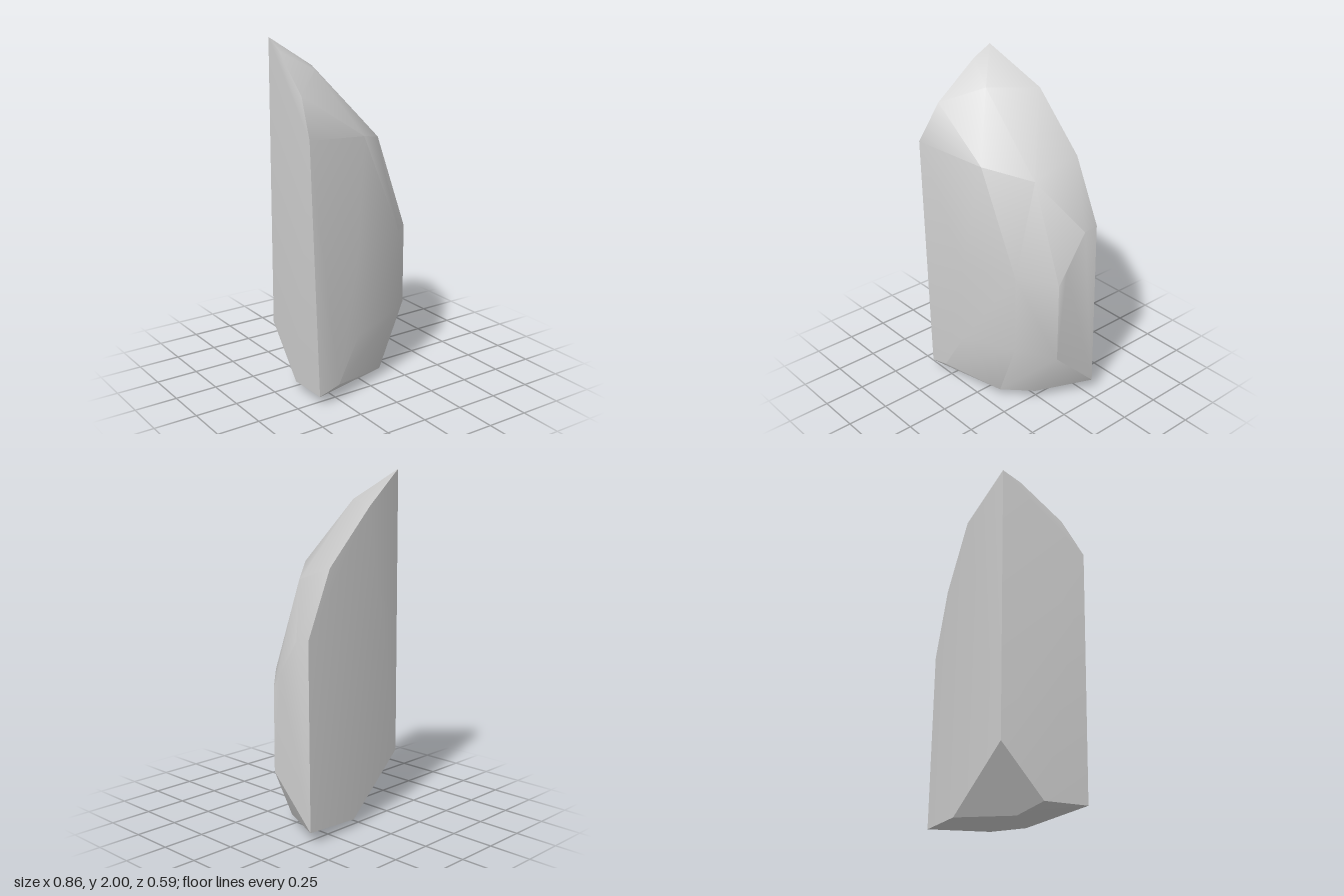
import * as THREE from 'three';
import { ConvexGeometry } from 'three/addons/geometries/ConvexGeometry.js';
import { toCreasedNormals } from 'three/addons/utils/BufferGeometryUtils.js';

// Corners of the chipped stone slab, grouped by the part they bound
const crown = [
  [-0.38, 2.0, -0.19], [-0.385, 1.94, -0.08], [-0.4, 1.73, 0.17], [-0.43, 1.52, 0.29],
  [-0.2, 1.83, -0.01], [-0.01, 1.475, 0.187], [0.22, 1.41, 0.0],
];
const backEdge = [
  [-0.05, 1.81, -0.275], [0.26, 1.5, -0.275], [0.427, 1.13, -0.28],
  [0.43, 0.07, -0.295], [0.07, 0.045, -0.28], [-0.38, 0.34, -0.2],
];
const sideFacet = [
  [0.427, 1.12, -0.19], [0.425, 0.92, -0.06], [0.423, 0.84, -0.005], [0.423, 0.35, -0.005],
];
const frontBulge = [
  [0.25, 0.88, 0.165], [0.25, 0.4, 0.165], [-0.1, 0.85, 0.262], [-0.1, 0.35, 0.27], [-0.25, 0.095, 0.292],
];
const base = [
  [-0.38, 0.055, 0.292], [-0.38, 0.05, 0.04], [-0.24, 0.0, -0.05],
  [0.12, 0.05, 0.17], [0.27, 0.05, 0.02],
];

export function createModel() {
  const group = new THREE.Group();
  group.name = 'standingRock';

  const stone = new THREE.MeshStandardMaterial({ color: 0xcccccc });
  stone.name = 'pale grey stone';

  // Hull of all corners, soft over the front and sharp at the cut edges
  const corners = [...crown, ...backEdge, ...sideFacet, ...frontBulge, ...base]
    .map((p) => new THREE.Vector3(...p));
  const hull = toCreasedNormals(new ConvexGeometry(corners), THREE.MathUtils.degToRad(32));

  const rock = new THREE.Mesh(hull, stone);
  rock.name = 'rock';
  group.add(rock);
  return group;
}
